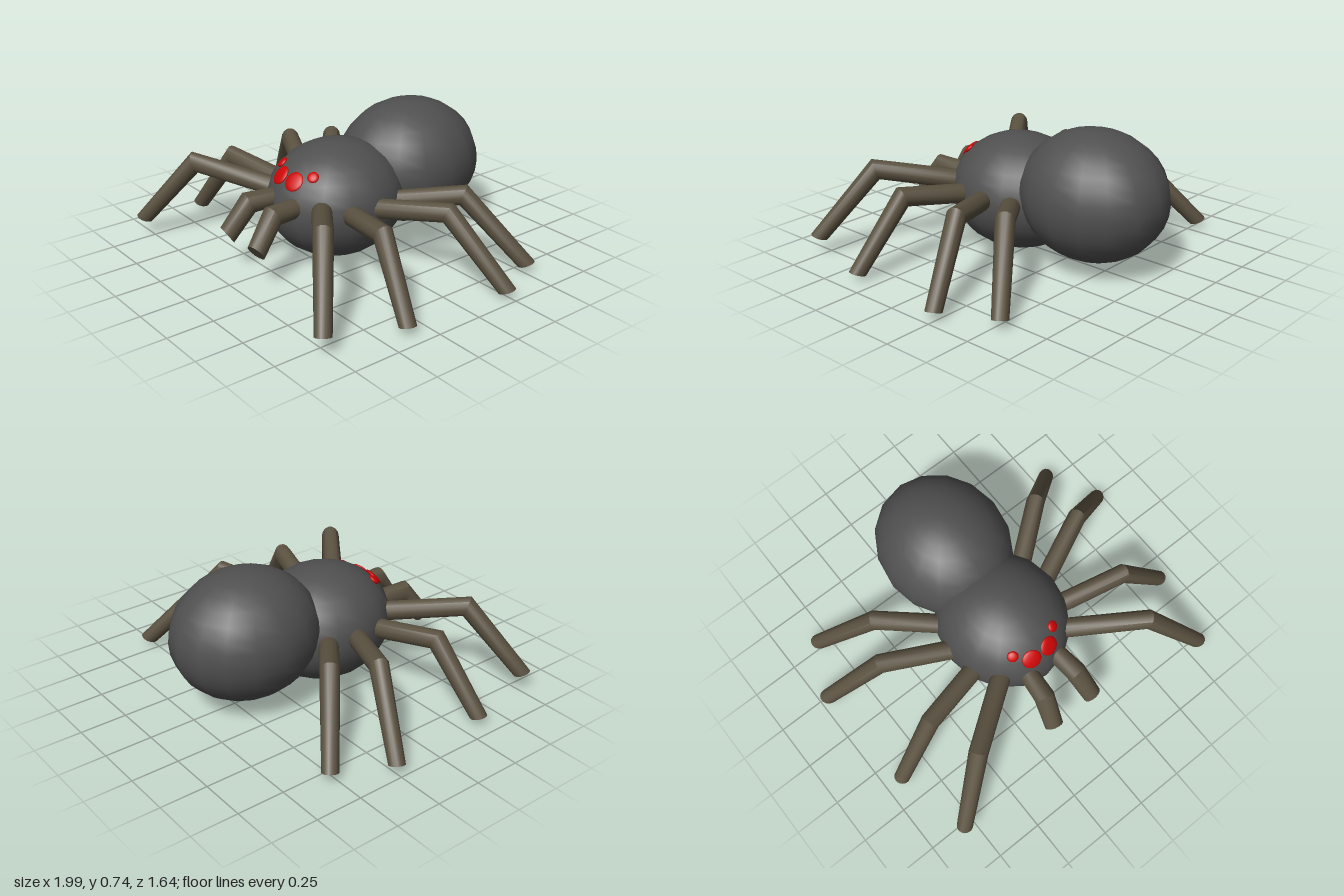
import * as THREE from 'three';
import { toCreasedNormals } from 'three/addons/utils/BufferGeometryUtils.js';

const V = (x, y, z) => new THREE.Vector3(x, y, z);
const UP = V(0, 1, 0);
const SIDES = 14;

const bodyMat = new THREE.MeshStandardMaterial({ color: 0x505050 });
const limbMat = new THREE.MeshStandardMaterial({ color: 0x5a5140 });
const eyeMat = new THREE.MeshStandardMaterial({ color: 0xcc0505 });

// Jointed tube with mitred knees; `lean` tilts the flat cut at the tip.
function limbGeometry(points, radii, lean) {
  const last = points.length - 1;
  const dirs = points.slice(1).map((p, i) => p.clone().sub(points[i]).normalize());
  const pos = [];
  const index = [];
  points.forEach((p, i) => {
    const d = dirs[Math.min(i, last - 1)];
    const n = d.clone();
    if (i === last) n.add(lean).normalize();
    else if (i > 0) n.add(dirs[i - 1]).normalize();
    const s = UP.clone().cross(d).normalize();
    const u = n.clone().cross(s).normalize();
    const stretch = 1 / n.dot(d);
    for (let j = 0; j < SIDES; j++) {
      const t = (j / SIDES) * Math.PI * 2;
      const q = p.clone()
        .addScaledVector(s, Math.cos(t) * radii[i])
        .addScaledVector(u, Math.sin(t) * radii[i] * stretch);
      pos.push(q.x, q.y, q.z);
    }
  });
  for (let i = 0; i < last; i++) {
    for (let j = 0; j < SIDES; j++) {
      const k = (j + 1) % SIDES;
      const a = i * SIDES + j, b = i * SIDES + k;
      index.push(a, b, b + SIDES, a, b + SIDES, a + SIDES);
    }
  }
  // flat end caps
  const e = last * SIDES;
  for (let j = 1; j < SIDES - 1; j++) {
    index.push(0, j + 1, j, e, e + j, e + j + 1);
  }
  const geo = new THREE.BufferGeometry();
  geo.setAttribute('position', new THREE.Float32BufferAttribute(pos, 3));
  geo.setIndex(index);
  return toCreasedNormals(geo, 0.7);
}

export function createModel() {
  const group = new THREE.Group();
  const add = (name, geo, mat) => {
    const mesh = new THREE.Mesh(geo, mat);
    mesh.name = name;
    group.add(mesh);
    return mesh;
  };

  // Body: two overlapping ellipsoids
  const headCentre = V(0, 0.308, 0.075);
  const headRadii = V(0.345, 0.308, 0.38);
  const ball = new THREE.SphereGeometry(1, 16, 16);
  const head = add('headAndThorax', ball, bodyMat);
  head.position.copy(headCentre);
  head.scale.copy(headRadii);
  const abdomen = add('abdomen', ball, bodyMat);
  abdomen.position.set(0, 0.395, -0.42);
  abdomen.scale.set(0.35, 0.34, 0.402);

  // Legs: root, knee and tip of the +x side, front to back
  const legs = [
    [[0.22, 0.36, 0.335], [0.56, 0.445, 0.585], [0.805, 0.09, 0.775]],
    [[0.25, 0.325, 0.195], [0.64, 0.385, 0.295], [0.9, 0.035, 0.36]],
    [[0.25, 0.325, 0.08], [0.66, 0.39, -0.105], [0.952, 0.04, -0.237]],
    [[0.22, 0.315, -0.06], [0.545, 0.39, -0.315], [0.81, 0.04, -0.523]],
  ];
  const legNames = ['frontLeg', 'secondLeg', 'thirdLeg', 'hindLeg'];
  const palp = [[0.085, 0.355, 0.34], [0.105, 0.36, 0.55], [0.13, 0.205, 0.67]];
  const eyes = [['mainEye', 0.056, 0.482, 0.052], ['sideEye', 0.13, 0.513, 0.03]];

  for (const [side, m] of [['left', 1], ['right', -1]]) {
    const path = (pts) => pts.map(([x, y, z]) => V(x * m, y, z));
    legs.forEach((pts, i) => {
      add(side + ' ' + legNames[i], limbGeometry(path(pts), [0.052, 0.05, 0.042], V(0, -1, 0)), limbMat);
    });
    // Short feelers beside the mouth
    add(side + ' feeler', limbGeometry(path(palp), [0.05, 0.055, 0.05], V(0, 0, 0.5)), limbMat);

    // Eyes: flattened discs lying on the head
    for (const [name, x, y, r] of eyes) {
      const dx = x / headRadii.x;
      const dy = (y - headCentre.y) / headRadii.y;
      const dz = Math.sqrt(1 - dx * dx - dy * dy);
      const normal = V((m * dx) / headRadii.x, dy / headRadii.y, dz / headRadii.z).normalize();
      const eye = add(side + ' ' + name, new THREE.SphereGeometry(1, 20, 12), eyeMat);
      eye.scale.set(r, r, 0.013);
      eye.position.set(m * x, y, headCentre.z + dz * headRadii.z);
      eye.quaternion.setFromUnitVectors(V(0, 0, 1), normal);
    }
  }
  return group;
}
